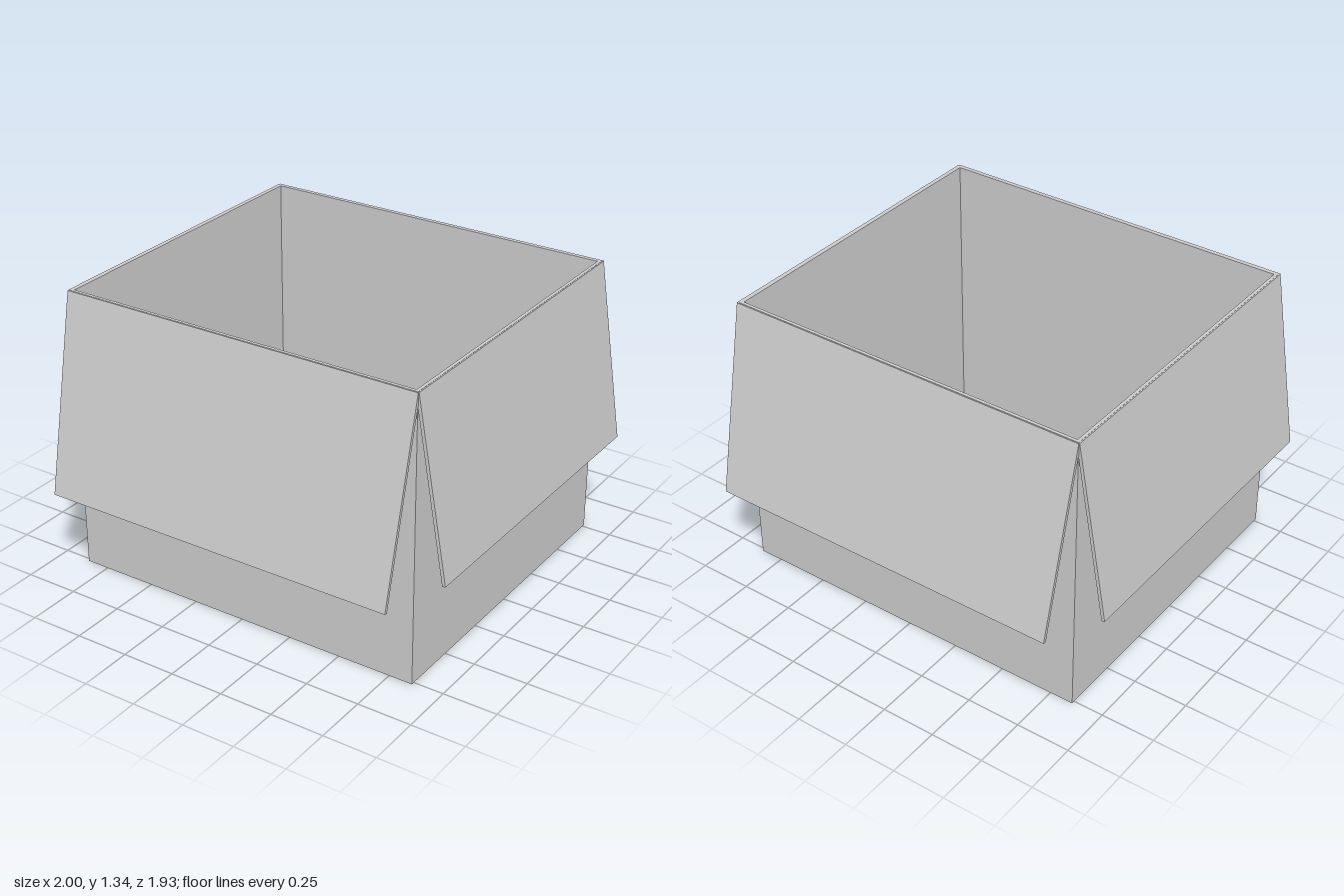
import * as THREE from 'three';

const W = 0.86, D = 0.765, H = 1.335, T = 0.015; // half width, half depth, height, board thickness

export function createModel() {
  const model = new THREE.Group();
  model.name = 'openBox';
  const material = new THREE.MeshStandardMaterial({ color: 0xcccccc, flatShading: true });

  const add = (name, geometry, parent = model) => {
    const mesh = new THREE.Mesh(geometry, material);
    mesh.name = name;
    parent.add(mesh);
    return mesh;
  };

  const rectangle = (w, d) => [[-w, -d], [w, -d], [w, d], [-w, d]].map(([x, y]) => new THREE.Vector2(x, y));

  // Four walls as one hollow ring
  const ring = new THREE.Shape(rectangle(W, D));
  ring.holes.push(new THREE.Path(rectangle(W - T, D - T).reverse()));
  const walls = new THREE.ExtrudeGeometry(ring, { depth: H, bevelEnabled: false });
  add('walls', walls.rotateX(-Math.PI / 2));

  // Bottom panel, inside the ring
  add('floor', new THREE.BoxGeometry(2 * (W - T), T, 2 * (D - T)).translate(0, T / 2, 0));

  // Slightly tapered flap, hinged on a wall's top edge and folded outwards
  const addFlap = (name, turn, distance, topHalf, bottomHalf, reach, bottomY) => {
    const hinge = distance - 0.008;
    const run = reach - T - hinge;
    const angle = Math.atan2(run, H - bottomY);
    const hingeY = H - T * Math.sin(angle);
    const length = Math.hypot(run, hingeY - bottomY);
    const outline = new THREE.Shape([
      new THREE.Vector2(-topHalf, 0),
      new THREE.Vector2(-bottomHalf, -length),
      new THREE.Vector2(bottomHalf, -length),
      new THREE.Vector2(topHalf, 0),
    ]);
    const side = new THREE.Group();
    side.name = name;
    side.rotation.y = turn;
    model.add(side);
    const panel = add(name + 'Panel', new THREE.ExtrudeGeometry(outline, { depth: T, bevelEnabled: false }), side);
    panel.position.set(0, hingeY, hinge);
    panel.rotation.x = -angle;
  };

  addFlap('frontFlap', 0, D, 0.865, 0.85, 0.965, 0.44);
  addFlap('backFlap', Math.PI, D, 0.865, 0.85, 0.967, 0.467);
  addFlap('leftFlap', Math.PI / 2, W, 0.768, 0.757, 1, 0.51);
  addFlap('rightFlap', -Math.PI / 2, W, 0.768, 0.757, 1, 0.51);

  return model;
}
